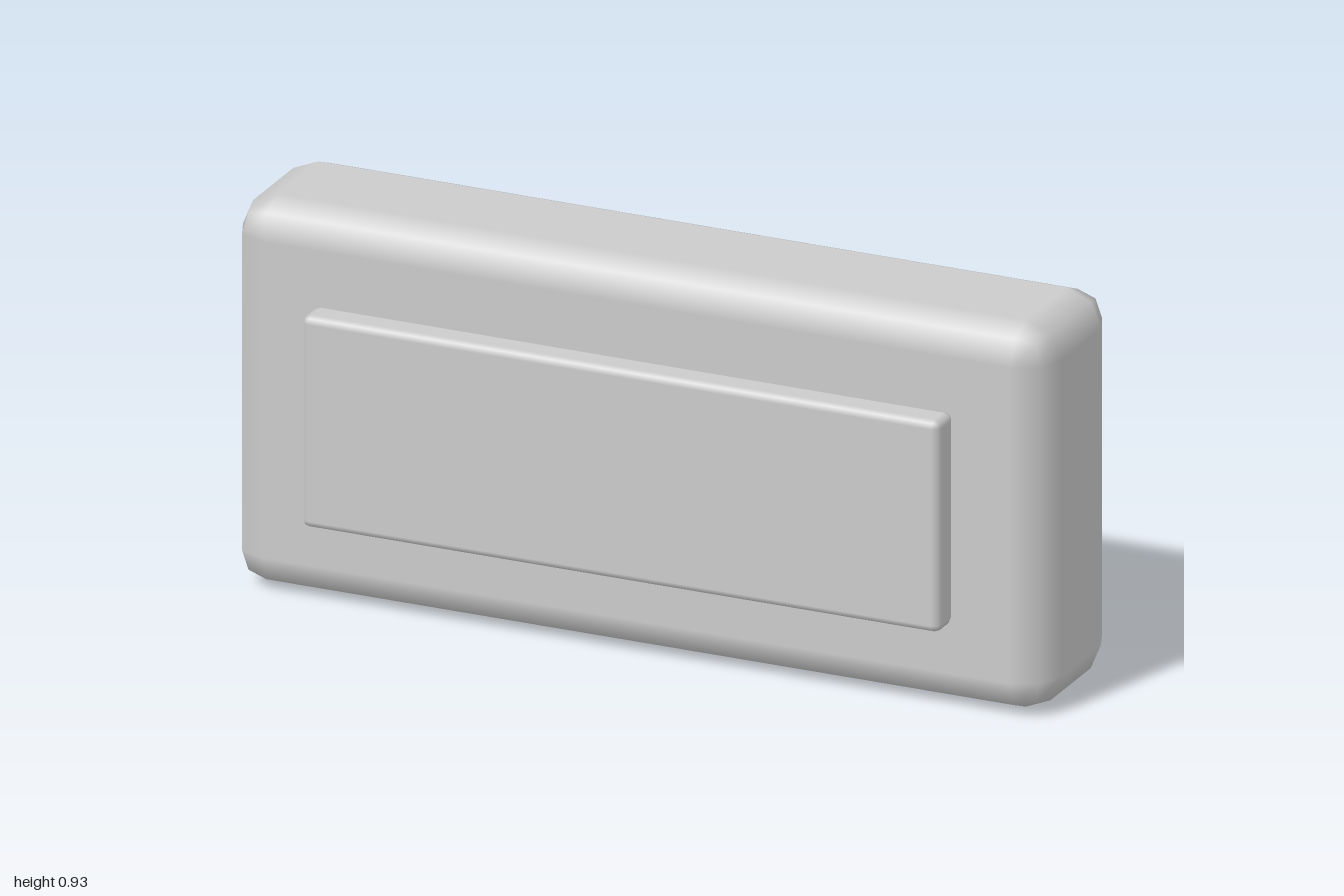
import * as THREE from 'three';
import { RoundedBoxGeometry } from 'three/addons/geometries/RoundedBoxGeometry.js';

const material = new THREE.MeshStandardMaterial({ color: 0xcccccc });

// Rounded slab given by its lower and upper corners; two facets per rounded edge
function slab(name, min, max, radius) {
  const [w, h, d] = max.map((v, i) => v - min[i]);
  const mesh = new THREE.Mesh(new RoundedBoxGeometry(w, h, d, 1, radius), material);
  mesh.position.set(...max.map((v, i) => (v + min[i]) / 2));
  mesh.name = name;
  return mesh;
}

export function createModel() {
  const group = new THREE.Group();
  group.name = 'wallUnit';

  // Main housing
  group.add(slab('body', [-1, 0, -0.236], [1, 0.925, 0.149], 0.085));

  // Thin panel floating just in front of the housing
  group.add(slab('frontPanel', [-0.78, 0.21, 0.153], [0.78, 0.716, 0.236], 0.018));

  return group;
}
